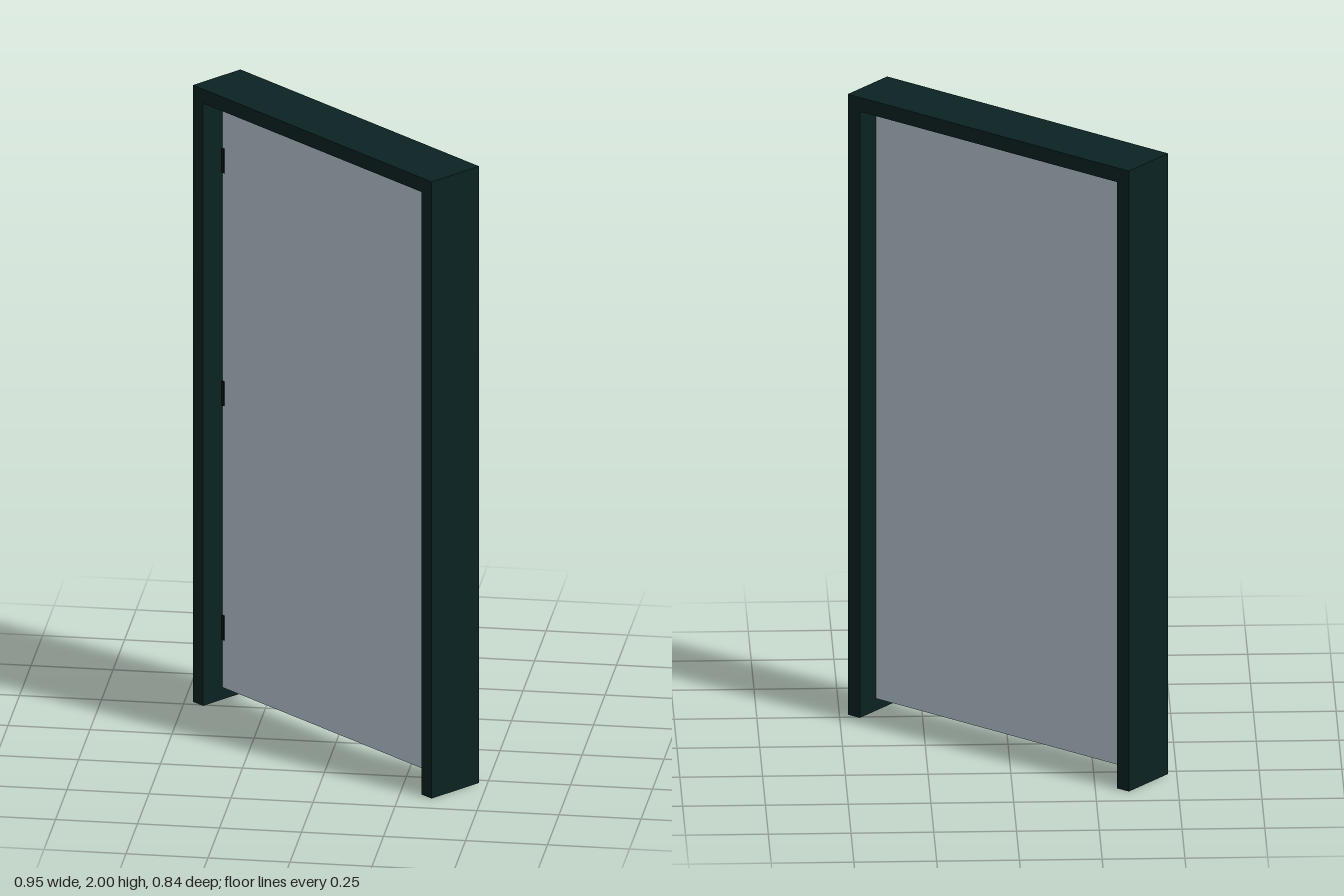
import * as THREE from 'three';

export function createModel() {
  const W = 1.077, D = 0.193, H = 2, T = 0.046; // frame size and board thickness
  const frameMat = new THREE.MeshStandardMaterial({ name: 'dark green frame', color: 0x0c2222 });
  const panelMat = new THREE.MeshStandardMaterial({ name: 'pale blue grey panel', color: 0xb4c4ce });
  const hingeMat = new THREE.MeshStandardMaterial({ name: 'black hinge', color: 0x0a1212 });

  const model = new THREE.Group();
  model.name = 'doorway';
  const box = (name, mat, w, h, d, x, y, z = 0) => {
    const mesh = new THREE.Mesh(new THREE.BoxGeometry(w, h, d), mat);
    mesh.name = name;
    mesh.position.set(x, y, z);
    model.add(mesh);
  };

  // Frame: two jambs under a full-width lintel
  for (const side of [-1, 1]) {
    box(side < 0 ? 'rightJamb' : 'leftJamb', frameMat, T, H - T, D, side * (W - T) / 2, (H - T) / 2);
  }
  box('lintel', frameMat, W, T, D, 0, H - T / 2);

  // Door panel, clear of the floor and the lintel
  box('doorPanel', panelMat, W - 2 * T - 0.004, 1.89, 0.038, 0, 0.985);

  // Three hinges on one jamb, standing just proud of the panel
  for (const y of [0.235, 0.995, 1.75]) {
    box('hinge', hingeMat, 0.011, 0.08, 0.043, -W / 2 + T + 0.005, y);
  }

  // The whole doorway stands turned by 40 degrees
  model.rotation.y = THREE.MathUtils.degToRad(-40);
  const root = new THREE.Group();
  root.name = 'doorwayModel';
  root.add(model);
  return root;
}
